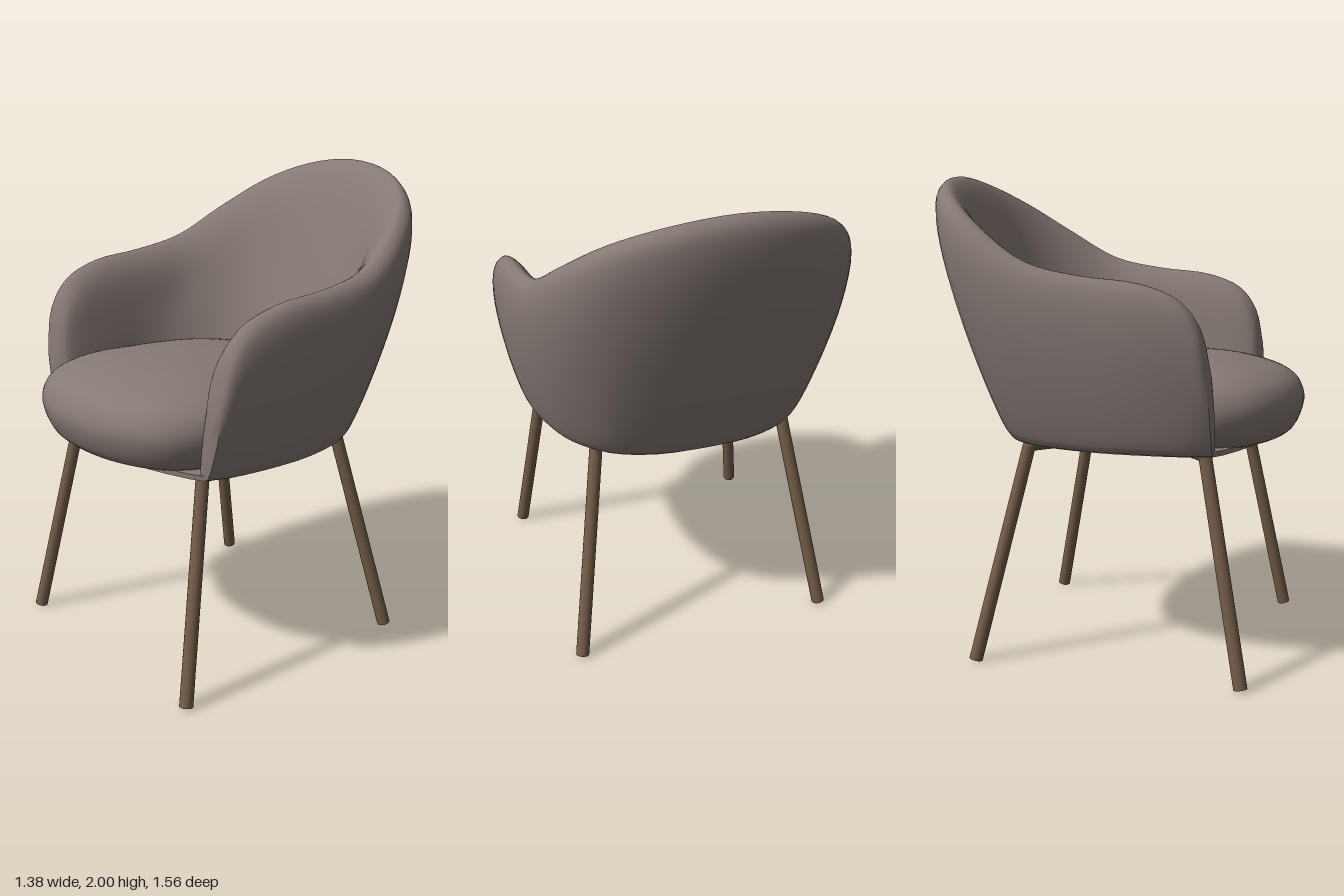
import * as THREE from 'three';
import { toCreasedNormals } from 'three/addons/utils/BufferGeometryUtils.js';

const V = (x, y, z) => new THREE.Vector3(x, y, z);

// Surface over rows of points; each row may be closed into a ring
function loft(rows, closeRow, closeRows) {
  const n = rows[0].length, m = rows.length, index = [];
  for (let i = 0; i < (closeRows ? m : m - 1); i++) {
    for (let j = 0; j < (closeRow ? n : n - 1); j++) {
      const i2 = (i + 1) % m, j2 = (j + 1) % n;
      const a = i * n + j, b = i2 * n + j, c = i2 * n + j2, d = i * n + j2;
      index.push(a, b, c, a, c, d);
    }
  }
  const g = new THREE.BufferGeometry().setFromPoints(rows.flat());
  g.setIndex(index);
  return toCreasedNormals(g, 0.9);
}

// Shell stations from the middle of the back to the arm tip:
// bottom x,z | rim x,y,z | outward angle | bulge | rim half-width | inner foot x,z
const STATIONS = [
  [0, -0.45, 0, 2.0, -0.73, 0, 0.095, 0.07, 0, -0.29],
  [0.20, -0.43, 0.245, 1.968, -0.695, 15, 0.095, 0.07, 0.18, -0.265],
  [0.38, -0.36, 0.435, 1.885, -0.585, 38, 0.095, 0.075, 0.30, -0.18],
  [0.50, -0.22, 0.55, 1.76, -0.41, 60, 0.09, 0.075, 0.39, -0.05],
  [0.56, -0.05, 0.605, 1.64, -0.21, 78, 0.08, 0.075, 0.435, 0.08],
  [0.585, 0.10, 0.62, 1.592, 0.01, 88, 0.075, 0.07, 0.455, 0.17],
  [0.585, 0.28, 0.62, 1.563, 0.25, 90, 0.075, 0.065, 0.455, 0.30],
  [0.57, 0.42, 0.61, 1.50, 0.40, 90, 0.07, 0.065, 0.465, 0.42],
  [0.55, 0.485, 0.60, 1.40, 0.475, 90, 0.065, 0.06, 0.48, 0.485],
  [0.54, 0.515, 0.59, 1.25, 0.51, 90, 0.045, 0.04, 0.50, 0.515],
];

// Cross-section: up the outside, over the rim, down the inside
function shellSection([bx, bz, rx, ry, rz, angle, bulge, r, ix, iz]) {
  const t = THREE.MathUtils.degToRad(angle);
  const out = V(Math.sin(t), 0, -Math.cos(t));
  const bottom = V(bx, 0.91, bz), rim = V(rx, ry, rz), foot = V(ix, 0.91, iz);
  const outer = (f, k) => bottom.clone().lerp(rim, f).addScaledVector(out, bulge * k);
  const lip = rim.clone().addScaledVector(out, -r).setY(ry - r);
  const inner = (f, k) => foot.clone().lerp(lip, f).addScaledVector(out, -bulge * k);
  return new THREE.CatmullRomCurve3([
    bottom, outer(0.04, 0.2), outer(0.3, 0.7), outer(0.65, 1), outer(0.88, 0.85), outer(0.97, 0.5), rim,
    lip, inner(0.65, 0.25), inner(0.3, 0.2), foot,
  ]).getPoints(40);
}

function shellGeometry() {
  const half = STATIONS.map(shellSection);
  const mirrored = half.slice(1).map((s) => s.map((p) => V(-p.x, p.y, p.z)));
  const keys = [...half.slice().reverse(), ...mirrored];
  const curves = keys[0].map((_, j) => new THREE.CatmullRomCurve3(keys.map((s) => s[j])));
  const rows = [];
  for (let i = 0; i <= 72; i++) rows.push(curves.map((c) => c.getPoint(i / 72)));
  // Collapsed end rows close the arm fronts
  const cap = (row) => {
    const c = row.reduce((s, p) => s.add(p), V(0, 0, 0)).divideScalar(row.length);
    c.z += 0.012;
    return row.map(() => c.clone());
  };
  return loft([cap(rows[0]), ...rows, cap(rows[72])], true, false);
}

// Closed plan curve from a half outline, front middle to back middle
function planCurve(front, side, back) {
  const plan = [[0, front], ...side, [0, back], ...side.slice().reverse().map(([x, z]) => [-x, z])];
  return new THREE.CatmullRomCurve3(plan.map(([x, z]) => V(x, 0, z)), true).getPoints(64).slice(0, 64);
}

// Seat cushion: plan outline scaled through a rounded profile
function cushionGeometry() {
  const side = [[0.25, 0.745], [0.44, 0.64], [0.525, 0.48], [0.52, 0.3], [0.5, 0.1], [0.42, -0.15], [0.24, -0.34]];
  const outline = planCurve(0.78, side, -0.39);
  const profile = new THREE.SplineCurve([
    [0.8, 0.907], [0.93, 0.945], [1, 1.05], [0.965, 1.13], [0.87, 1.18], [0.72, 1.214], [0.5, 1.243], [0.25, 1.257], [0, 1.262],
  ].map(([s, y]) => new THREE.Vector2(s, y))).getPoints(32);
  profile.unshift(new THREE.Vector2(0, 0.907));
  const mid = 0.2;
  return loft(outline.map((p) => profile.map((q) => V(p.x * q.x, q.y, mid + (p.z - mid) * q.x))), false, true);
}

// Flat underside joining the shell and the cushion
function undersideGeometry() {
  const side = STATIONS.slice(1).map(([x, z]) => [x - 0.01, z]).reverse();
  const outline = planCurve(0.64, [[0.25, 0.615], ...side], -0.44);
  const shape = new THREE.Shape(outline.map((p) => new THREE.Vector2(p.x, -p.z)));
  return new THREE.ExtrudeGeometry(shape, { depth: 0.02, bevelEnabled: false }).rotateX(-Math.PI / 2);
}

export function createModel() {
  const group = new THREE.Group();
  const fabric = new THREE.MeshStandardMaterial({ name: 'taupe fabric', color: 0x857974 });
  const wood = new THREE.MeshStandardMaterial({ name: 'brown frame', color: 0x735d48 });

  const add = (name, geometry, material) => {
    const mesh = new THREE.Mesh(geometry, material);
    mesh.name = name;
    group.add(mesh);
    return mesh;
  };
  const rod = (name, a, b, rTop, rBottom) => {
    const d = b.clone().sub(a);
    const mesh = add(name, new THREE.CylinderGeometry(rTop, rBottom, d.length(), 16), wood);
    mesh.position.copy(a).addScaledVector(d, 0.5);
    mesh.quaternion.setFromUnitVectors(V(0, 1, 0), d.normalize());
  };

  add('backAndArmShell', shellGeometry(), fabric);
  add('seatCushion', cushionGeometry(), fabric);
  add('underside', undersideGeometry(), fabric).position.y = 0.905;

  // Splayed legs, each bent into a bar running to the crossing under the seat
  const hub = V(0, 0.887, 0.085);
  for (const s of [1, -1]) {
    const legs = [
      ['front', V(s * 0.565, 0.004, 0.64), V(s * 0.453, 0.885, 0.468)],
      ['back', V(s * 0.555, 0.004, -0.472), V(s * 0.415, 0.885, -0.28)],
    ];
    for (const [end, foot, top] of legs) {
      const name = end + (s > 0 ? 'Left' : 'Right');
      rod(name + 'Leg', foot, top, 0.027, 0.028);
      rod(name + 'Bar', hub, top, 0.019, 0.019);
      add(name + 'Bend', new THREE.SphereGeometry(0.027, 16, 10), wood).position.copy(top);
    }
  }
  return group;
}
